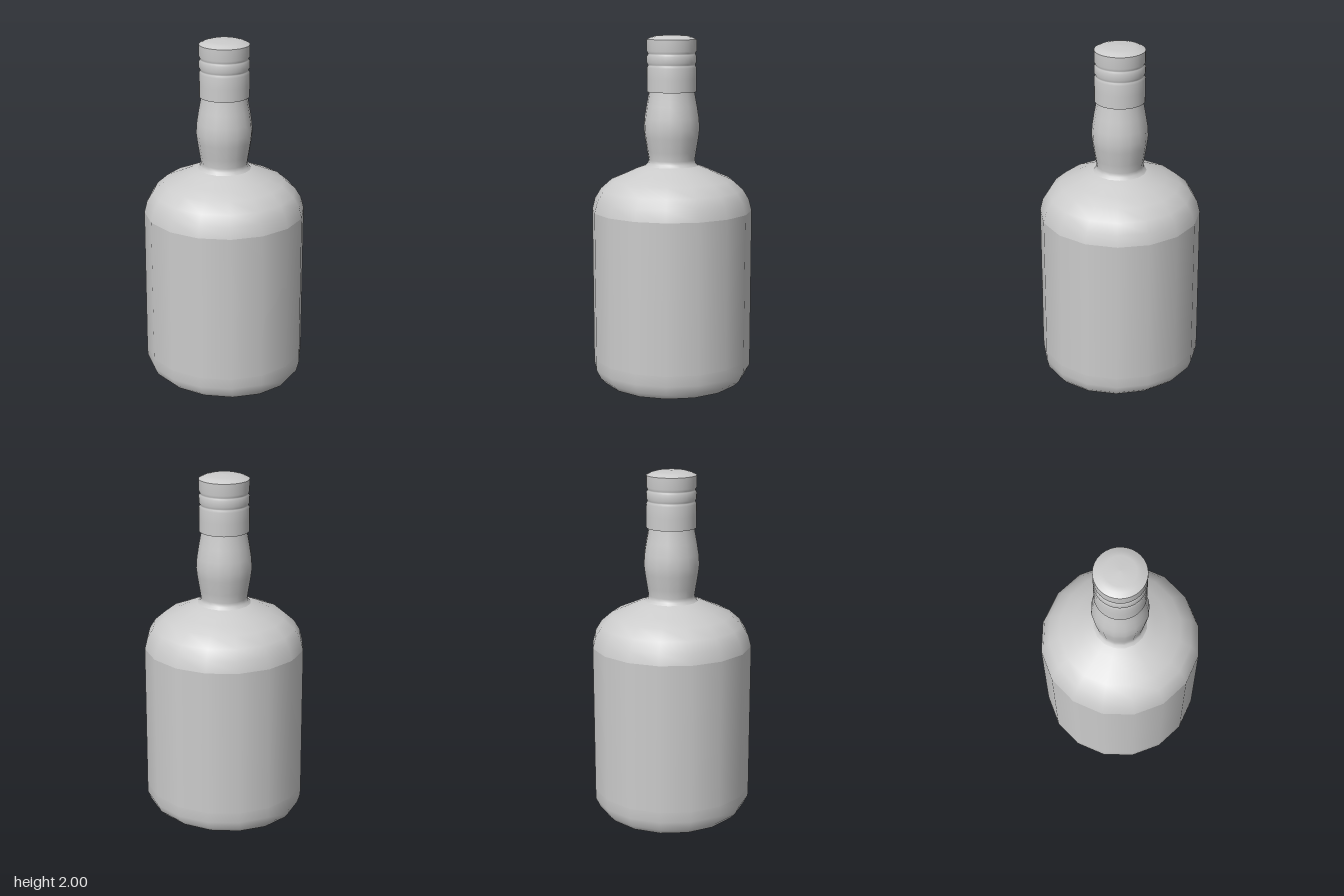
import * as THREE from 'three';

const material = new THREE.MeshStandardMaterial({ color: 0xcccccc });

// Smooth lathe through [radius, height] pairs, listed upwards
function turned(name, profile, sides) {
  const points = profile.map(([r, y]) => new THREE.Vector2(r, y));
  const mesh = new THREE.Mesh(new THREE.LatheGeometry(points, sides), material);
  mesh.name = name;
  return mesh;
}

// The body is very slightly wider than deep towards the foot
function widenFoot(mesh) {
  const p = mesh.geometry.attributes.position;
  for (let i = 0; i < p.count; i++) {
    const y = p.getY(i);
    const t = THREE.MathUtils.clamp(1 - y, 0, 1);
    const foot = THREE.MathUtils.clamp(1 - y / 0.08, 0, 1);
    p.setX(i, p.getX(i) * (1 + 0.015 * t));
    p.setZ(i, p.getZ(i) * (1 - 0.006 * t - 0.05 * foot));
  }
  return mesh;
}

export function createModel() {
  const bottle = new THREE.Group();
  bottle.name = 'bottle';

  // Body: flat base, rounded foot, straight wall and domed shoulder
  bottle.add(
    widenFoot(turned('base', [[0, 0], [0.424, 0]], 16)),
    widenFoot(turned('foot', [[0.424, 0], [0.448, 0.03], [0.46, 0.08], [0.4615, 0.14]], 16)),
    widenFoot(turned('wall', [[0.4615, 0.14], [0.4615, 0.57], [0.4615, 1.0]], 16)),
    turned('shoulder', [
      [0.4615, 1.0], [0.445, 1.065], [0.41, 1.122], [0.346, 1.178],
      [0.27, 1.21], [0.2, 1.242], [0.152, 1.258],
    ], 16),
  );

  // Bulbous neck
  bottle.add(turned('neck', [
    [0.152, 1.258], [0.138, 1.272], [0.133, 1.292], [0.141, 1.34],
    [0.154, 1.42], [0.16, 1.47], [0.156, 1.53], [0.145, 1.6], [0.13, 1.68], [0.13, 1.7],
  ], 16));

  // Cap: underside, skirt with two grooves, and a low domed top
  const cap = new THREE.Group();
  cap.name = 'cap';
  cap.add(
    turned('capUnderside', [[0.115, 1.68], [0.142, 1.68]], 32),
    turned('capSkirt', [
      [0.142, 1.68], [0.142, 1.75], [0.142, 1.815], [0.136, 1.827], [0.136, 1.834],
      [0.142, 1.846], [0.142, 1.88], [0.136, 1.89], [0.136, 1.897],
      [0.142, 1.91], [0.142, 1.975],
    ], 32),
    turned('capTop', [[0.142, 1.975], [0.115, 1.988], [0.085, 1.996], [0, 2.0]], 32),
  );
  bottle.add(cap);
  return bottle;
}
